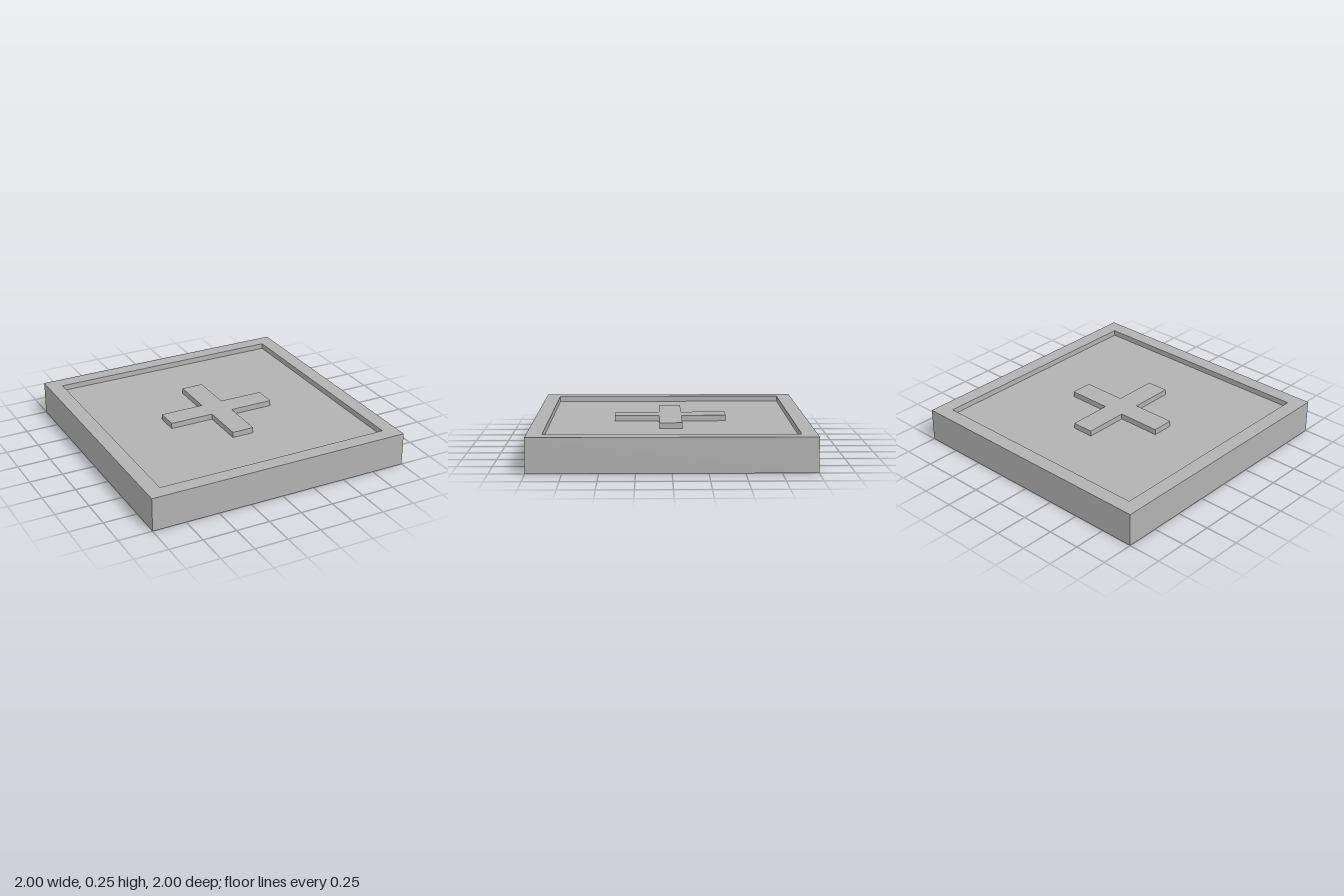
import * as THREE from 'three';

const HEIGHT = 0.25, FLOOR = 0.208, INNER = 0.89;

// Square tray: a four-sided lathe of half-width / height pairs
function trayGeometry() {
  const profile = [[0, 0], [1, 0], [1, HEIGHT], [INNER, HEIGHT], [INNER, FLOOR], [0, FLOOR]]
    .map(([halfWidth, y]) => new THREE.Vector2(halfWidth * Math.SQRT2, y));
  const geometry = new THREE.LatheGeometry(profile, 4, Math.PI / 4).toNonIndexed();
  geometry.computeVertexNormals();
  return geometry;
}

// Plus shape with arms of half-length a and half-width b, standing on y = 0
function plusGeometry(a, b, height) {
  const corners = [];
  for (let i = 0; i < 4; i++) {
    for (const [x, y] of [[a, -b], [a, b], [b, b]]) {
      corners.push(new THREE.Vector2(x, y).rotateAround(new THREE.Vector2(), i * Math.PI / 2));
    }
  }
  return new THREE.ExtrudeGeometry(new THREE.Shape(corners), { depth: height, bevelEnabled: false })
    .rotateX(-Math.PI / 2);
}

export function createModel() {
  const model = new THREE.Group();
  model.name = 'squareTile';
  const grey = new THREE.MeshStandardMaterial({ color: 0xb2b2b2 });
  grey.name = 'grey';

  // Body with raised rim and sunken floor
  const tray = new THREE.Mesh(trayGeometry(), grey);
  tray.name = 'tray';

  // Raised cross, level with the rim
  const cross = new THREE.Mesh(plusGeometry(0.415, 0.083, HEIGHT - FLOOR), grey);
  cross.name = 'raisedCross';
  cross.position.y = FLOOR;

  model.add(tray, cross);
  return model;
}
